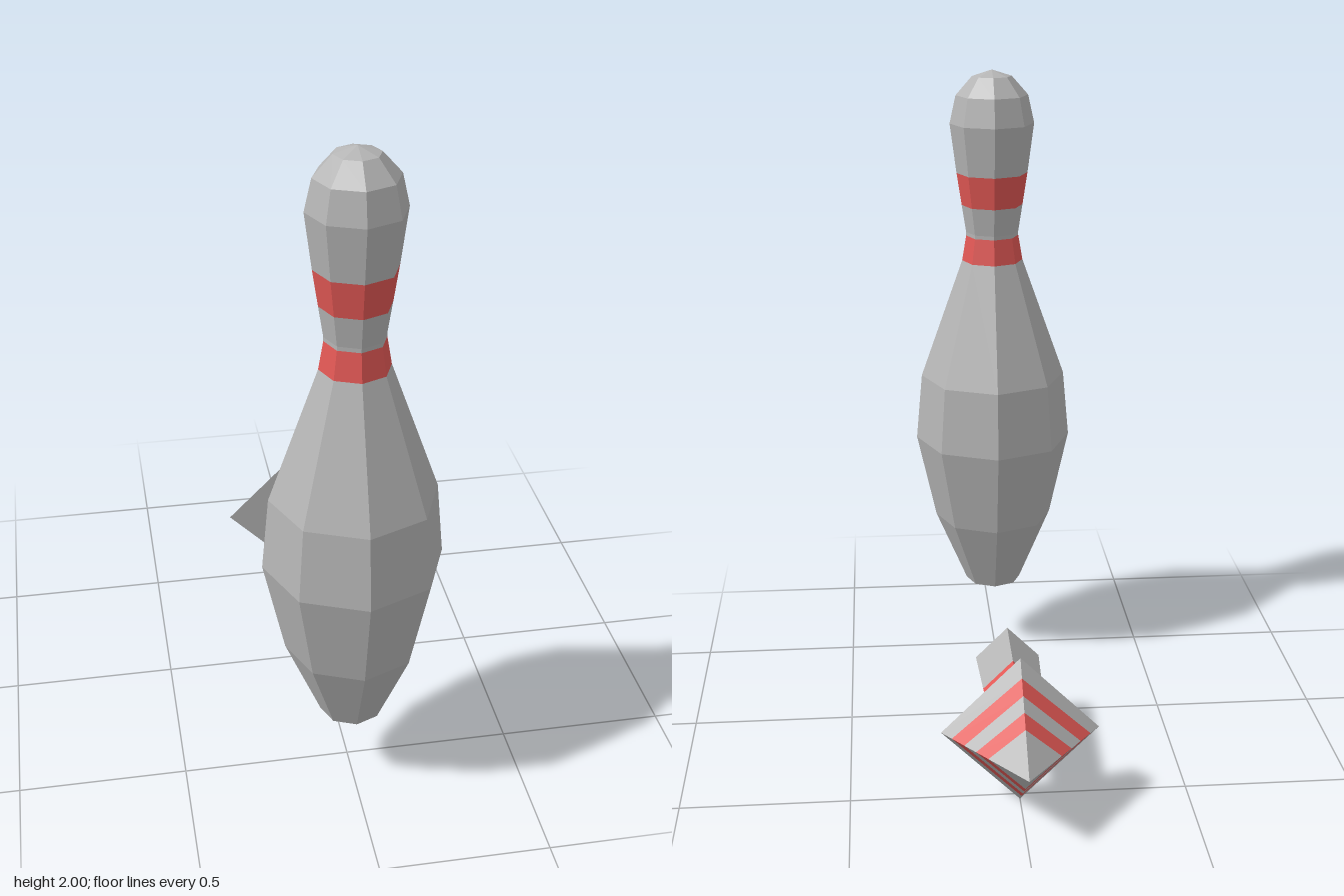
import * as THREE from 'three';

const make = (name, color) => {
  const m = new THREE.MeshStandardMaterial({ color, flatShading: true });
  m.name = name;
  return m;
};

// One faceted ring-stack around the y axis; profile is [radius, y] from low to high
function turned(name, profile, sides, material, rule) {
  const points = profile.map(([r, y]) => new THREE.Vector2(r, y));
  const geometry = new THREE.LatheGeometry(points, sides);
  if (rule) rule(geometry.attributes.position);
  const mesh = new THREE.Mesh(geometry, material);
  mesh.name = name;
  return mesh;
}

export function createModel() {
  const grey = make('grey', 0xb5b5b5);
  const red = make('red', 0xe25855);
  const model = new THREE.Group();
  model.name = 'pinAndArrow';

  // Bowling pin, eight-sided, with two red neck bands
  const pin = new THREE.Group();
  pin.name = 'pin';
  pin.position.z = 0.555;
  pin.add(
    turned('pinBody', [[0.093, 0.236], [0.197, 0.48], [0.26, 0.765], [0.24, 0.985], [0.1, 1.38]], 8, grey),
    turned('lowerNeckBand', [[0.1, 1.38], [0.086, 1.463]], 8, red),
    turned('pinNeck', [[0.086, 1.463], [0.086, 1.475], [0.1, 1.565]], 8, grey),
    turned('upperNeckBand', [[0.1, 1.565], [0.116, 1.67]], 8, red),
    turned('pinHead', [[0.116, 1.67], [0.137, 1.83], [0.117, 1.92], [0.064, 1.98], [0, 2]], 8, grey)
  );
  const foot = new THREE.Mesh(new THREE.CircleGeometry(0.093, 8), grey);
  foot.name = 'pinFoot';
  foot.rotation.x = Math.PI / 2;
  foot.position.y = 0.236;
  pin.add(foot);
  model.add(pin);

  // Four-sided arrow lying along -z; its local y runs towards the tip
  const arrow = new THREE.Group();
  arrow.name = 'arrow';
  arrow.position.y = 0.233;
  const along = new THREE.Group();
  along.name = 'arrowLength';
  along.rotation.x = -Math.PI / 2;
  arrow.add(along);
  model.add(arrow);

  // Tapered shaft in alternating grey and red lengths
  const start = 0.062, base = 0.528, tip = 0.816;
  const shaftCuts = [start, 0.272, 0.325, 0.377, 0.434, base];
  const shaftRadius = (y) => 0.1 - 0.02 * (y - start) / (base - start);
  for (let i = 0; i < 5; i++) {
    const profile = [shaftCuts[i], shaftCuts[i + 1]].map((y) => [shaftRadius(y), y]);
    along.add(turned(i % 2 ? 'shaftBand' : 'shaft', profile, 4, i % 2 ? red : grey));
  }

  // Pyramid head; the stripes lean slightly towards the top and bottom ridges
  const headRadius = (y) => 0.231 * (tip - y) / (tip - base);
  const lean = (pos) => {
    for (let i = 0; i < pos.count; i++) {
      const y = pos.getY(i);
      if (y < base + 0.01 || y > tip - 0.01) continue;
      if (Math.abs(pos.getZ(i)) < Math.abs(pos.getX(i))) continue;
      const y2 = y + 0.012;
      pos.setXYZ(i, 0, y2, Math.sign(pos.getZ(i)) * headRadius(y2));
    }
  };
  const headCuts = [base, 0.565, 0.607, 0.646, 0.686, tip];
  for (let i = 0; i < 5; i++) {
    const profile = [headCuts[i], headCuts[i + 1]].map((y) => [headRadius(y), y]);
    along.add(turned(i % 2 ? 'headStripe' : 'head', profile, 4, i % 2 ? red : grey, lean));
  }
  const headBase = new THREE.Mesh(new THREE.CircleGeometry(0.231, 4), grey);
  headBase.name = 'headBase';
  headBase.position.z = -base;
  arrow.add(headBase);

  // Shaft end, split into strips with a red one
  const end = new THREE.Group();
  end.name = 'shaftEnd';
  end.position.z = -start;
  end.rotation.z = -Math.PI / 4;
  const side = 0.1 * Math.SQRT2;
  const endCuts = [0, 0.37, 0.74, 1];
  for (let i = 0; i < 3; i++) {
    const [a, b] = [endCuts[i], endCuts[i + 1]];
    const strip = new THREE.Mesh(new THREE.PlaneGeometry((b - a) * side, side), i === 1 ? red : grey);
    strip.name = i === 1 ? 'endStripe' : 'endStrip';
    strip.position.x = ((a + b) / 2 - 0.5) * side;
    end.add(strip);
  }
  arrow.add(end);

  return model;
}
